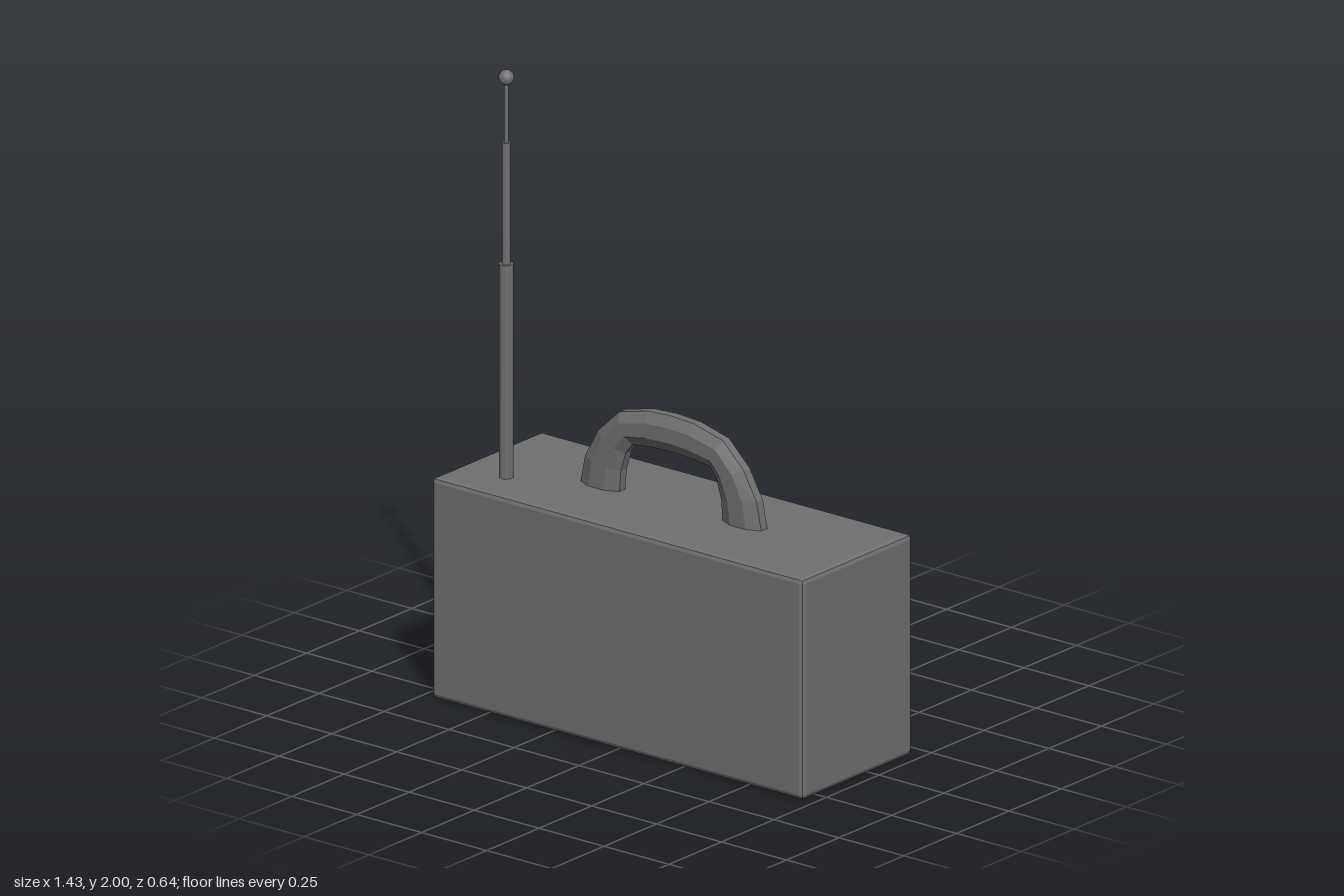
import * as THREE from 'three';
import { RoundedBoxGeometry } from 'three/addons/geometries/RoundedBoxGeometry.js';

const BACK = -0.205; // rear wall carrying the controls
const TOP = 0.703;   // top of the case

const flat = new THREE.MeshStandardMaterial({ color: 0x707070, flatShading: true });
const smooth = new THREE.MeshStandardMaterial({ color: 0x707070 });

function add(parent, name, geometry, x, y, z, material = flat) {
  const mesh = new THREE.Mesh(geometry, material);
  mesh.name = name;
  mesh.position.set(x, y, z);
  parent.add(mesh);
  return mesh;
}

// Carrying handle: octagonal rings swept between an inner and an outer arch
function handleGeometry() {
  const half = [ // [outer x, outer y, inner x, inner y], from the foot to the crown
    [0.35, 0.69, 0.2, 0.69],
    [0.33, 0.79, 0.193, 0.77],
    [0.28, 0.88, 0.175, 0.83],
    [0.2, 0.957, 0.15, 0.864],
    [0.09, 0.985, 0.075, 0.873],
  ];
  const rings = [
    ...half.map(([a, b, c, d]) => [-a, b, -c, d]),
    [0, 0.99, 0, 0.876],
    ...half.slice().reverse(),
  ];
  const sides = 8, halfWidth = 0.038, positions = [], index = [];
  rings.forEach(([ox, oy, ix, iy], i) => {
    for (let j = 0; j < sides; j++) {
      const a = ((j + 0.5) / sides) * Math.PI * 2;
      const t = 0.5 + 0.5 * Math.cos(a) / Math.cos(Math.PI / sides);
      positions.push(ix + (ox - ix) * t, iy + (oy - iy) * t, halfWidth * Math.sin(a));
      if (i < rings.length - 1) {
        const k = (j + 1) % sides, p = i * sides, q = p + sides;
        index.push(p + j, p + k, q + j, p + k, q + k, q + j);
      }
    }
  });
  const g = new THREE.BufferGeometry();
  g.setAttribute('position', new THREE.Float32BufferAttribute(positions, 3));
  g.setIndex(index);
  g.computeVertexNormals();
  return g;
}

// Speaker: half turn of a faceted profile about the vertical, stretched sideways
function speakerGeometry() {
  const profile = [[0, -0.184], [0.32, -0.175], [0.82, -0.1], [1, 0], [0.82, 0.103], [0, 0.182]]
    .map(([r, y]) => new THREE.Vector2(r, y));
  return new THREE.LatheGeometry(profile, 10, Math.PI / 2, Math.PI).scale(0.58, 1, 0.118);
}

// Tuning dial: half ellipse standing out of the rear wall
function dialGeometry(height) {
  const shape = new THREE.Shape();
  shape.absellipse(0, 0, 0.33, 0.118, 0, Math.PI, false, 0);
  shape.closePath();
  return new THREE.ExtrudeGeometry(shape, { depth: height, bevelEnabled: false, curveSegments: 20 })
    .rotateX(-Math.PI / 2)
    .translate(0, -height / 2, 0);
}

export function createModel() {
  const model = new THREE.Group();
  model.name = 'portableRadio';

  // Case
  add(model, 'case', new RoundedBoxGeometry(1.43, TOP, 0.523, 1, 0.015), 0, TOP / 2, 0.0575);
  add(model, 'handle', handleGeometry(), 0, 0, 0.048);

  // Rear controls
  add(model, 'speaker', speakerGeometry(), 0, 0.285, BACK);
  add(model, 'tuningDial', dialGeometry(0.098), 0.08, 0.556, BACK);
  for (const x of [-0.51, -0.29, 0.48]) {
    const knob = new THREE.CylinderGeometry(0.036, 0.047, 0.1, 14).rotateX(-Math.PI / 2);
    add(model, 'knob', knob, x, 0.56, BACK - 0.046);
  }

  // Telescopic aerial
  const aerial = new THREE.Group();
  aerial.name = 'aerial';
  aerial.position.set(-0.543, 0, 0.175);
  model.add(aerial);
  for (const [radius, from, to] of [[0.022, 0.69, 1.383], [0.0135, 1.38, 1.77], [0.007, 1.765, 1.97]]) {
    const tube = new THREE.CylinderGeometry(radius, radius, to - from, 12);
    add(aerial, 'aerialSection', tube, 0, (from + to) / 2, 0);
  }
  add(aerial, 'aerialTip', new THREE.SphereGeometry(0.024, 16, 12), 0, 1.976, 0, smooth);

  return model;
}
